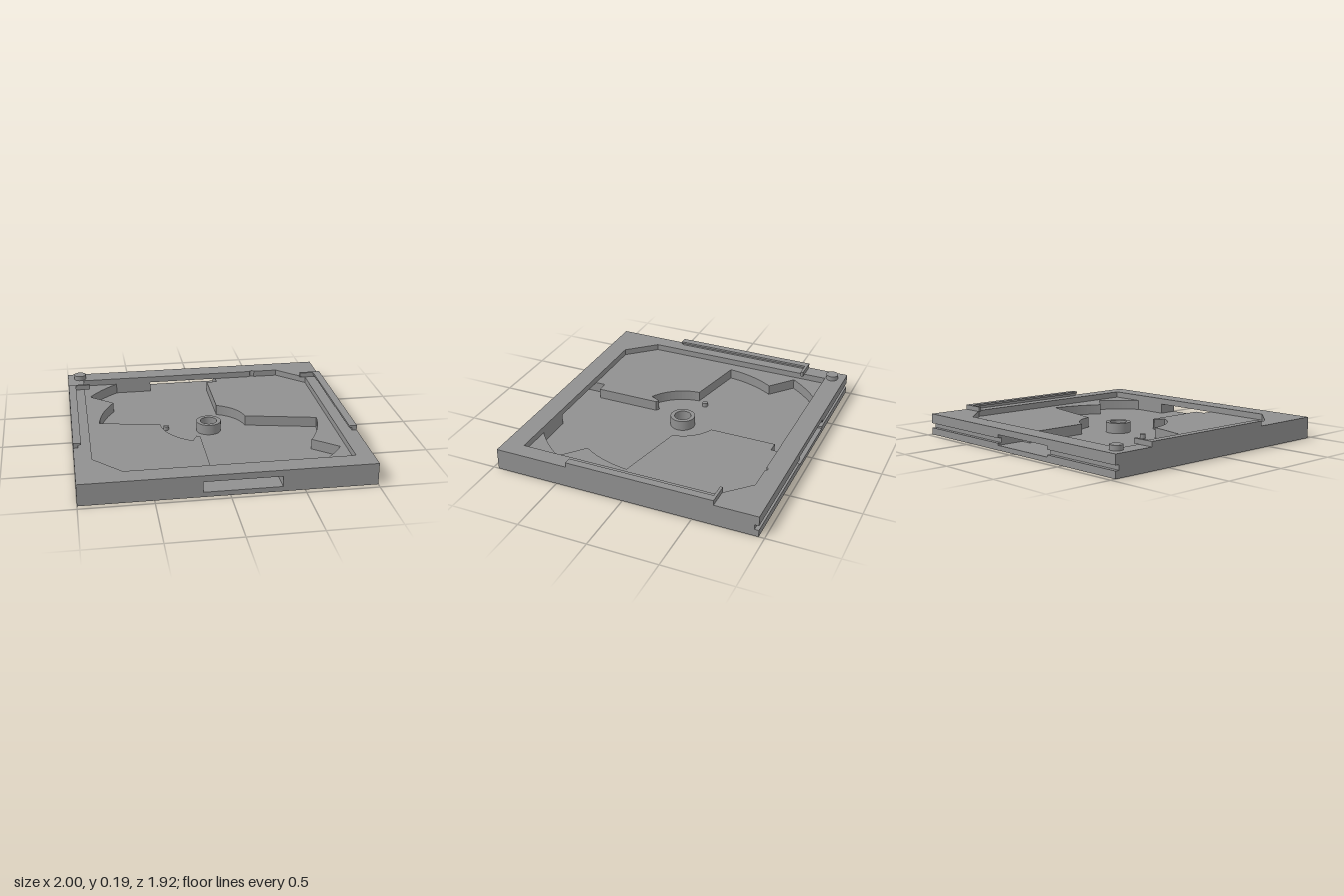
import * as THREE from 'three';

const FLOOR = 0.035, SHELF = 0.11, TOP = 0.155, RAIL = 0.19;

// points on an arc around the origin between two plan points (x, z)
function arc(a, b, n = 14) {
  const a0 = Math.atan2(a[1], a[0]);
  let d = Math.atan2(b[1], b[0]) - a0;
  if (d > Math.PI) d -= 2 * Math.PI;
  if (d < -Math.PI) d += 2 * Math.PI;
  const r0 = Math.hypot(...a), r1 = Math.hypot(...b);
  return Array.from({ length: n + 1 }, (_, i) => {
    const t = i / n, r = r0 + (r1 - r0) * t;
    return [r * Math.cos(a0 + d * t), r * Math.sin(a0 + d * t)];
  });
}

const toPoints = pts => pts.map(p => new THREE.Vector2(p[0], p[1]));

export function createModel() {
  const group = new THREE.Group();
  const grey = new THREE.MeshStandardMaterial({ color: 0x909090 });
  grey.name = 'grey';

  const add = (name, geometry) => {
    const mesh = new THREE.Mesh(geometry, grey);
    mesh.name = name;
    group.add(mesh);
    return mesh;
  };
  // plan outline (x, z) raised from y0 to y1
  const slab = (name, pts, y0, y1, hole) => {
    const shape = new THREE.Shape(toPoints(pts));
    if (hole) shape.holes.push(new THREE.Path(toPoints(hole)));
    const g = new THREE.ExtrudeGeometry(shape, { depth: y1 - y0, bevelEnabled: false });
    g.rotateX(Math.PI / 2).translate(0, y1, 0);
    return add(name, g);
  };
  const rect = (x0, x1, z0, z1) => [[x0, z0], [x1, z0], [x1, z1], [x0, z1]];

  // base plate
  slab('basePlate', rect(-1, 1, -0.96, 0.96), 0, FLOOR);

  // two shelves around the deep pocket; the middle level is cut back for the rear groove
  const levels = [[FLOOR, 0.05, -0.96], [0.05, 0.085, -0.93], [0.085, SHELF, -0.96]];
  for (const [y0, y1, back] of levels) {
    slab('leftFrontShelf', [
      [-1, 0.96], [-0.18, 0.96], [-0.18, 0.74], [-0.1, 0.74], [-0.1, 0.265], [-0.125, 0.25],
      ...arc([-0.16, 0.325], [-0.36, 0.02]),
      ...arc([-0.797, -0.07], [-0.67, -0.435]),
      ...arc([-0.84, -0.58], [-0.62, -0.815]),
      [-0.35, -0.815], [-0.35, back], [-1, back],
    ], y0, y1);
    slab('rightRearShelf', [
      [1, back], [0.18, back], [0.18, -0.75], [0.1, -0.75],
      ...arc([0.1, -0.267], [0.28, -0.042]),
      ...arc([0.797, 0.066], [0.67, 0.432]),
      ...arc([0.84, 0.575], [0.62, 0.815]),
      [0.35, 0.815], [0.35, 0.96], [1, 0.96],
    ], y0, y1);
  }

  // upper rim with the chamfered opening and a small round nick
  const nick = Array.from({ length: 9 }, (_, i) => {
    const t = Math.PI * i / 8;
    return [0.48 - 0.018 * Math.cos(t), -0.815 - 0.015 * Math.sin(t)];
  });
  slab('upperRim', rect(-1, 1, -0.96, 0.96), SHELF, TOP, [
    [-0.88, -0.815], ...nick, [0.68, -0.815], [0.88, -0.62],
    [0.88, 0.815], [-0.69, 0.815], [-0.88, 0.61],
  ]);

  // side rails with an overhanging lip and an inward stop
  for (const s of [-1, 1]) {
    const side = s < 0 ? 'right' : 'left';
    const box = (name, x0, x1, y0, y1, z0, z1) => {
      const g = new THREE.BoxGeometry(x1 - x0, y1 - y0, z1 - z0);
      add(side + name, g).position.set(s * (x0 + x1) / 2, (y0 + y1) / 2, (z0 + z1) / 2);
    };
    box('RailWall', 0.965, 1, TOP, 0.175, -0.63, 0.42);
    box('RailLip', 0.945, 1, 0.175, RAIL, -0.63, 0.42);
    box('RailStop', 0.838, 1, TOP, RAIL, -0.65, -0.63);
  }

  // hollow hub
  add('hub', new THREE.LatheGeometry(toPoints([
    [0.09, FLOOR], [0.09, SHELF], [0.09, SHELF], [0.06, SHELF], [0.06, SHELF], [0.06, FLOOR],
  ]), 48));

  // pocket pin and corner post
  add('pocketPin', new THREE.CylinderGeometry(0.02, 0.02, 0.03, 24)).position.set(-0.31, 0.05, -0.05);
  add('cornerPost', new THREE.CylinderGeometry(0.045, 0.045, RAIL - TOP, 32))
    .position.set(-0.905, (TOP + RAIL) / 2, -0.865);

  return group;
}
